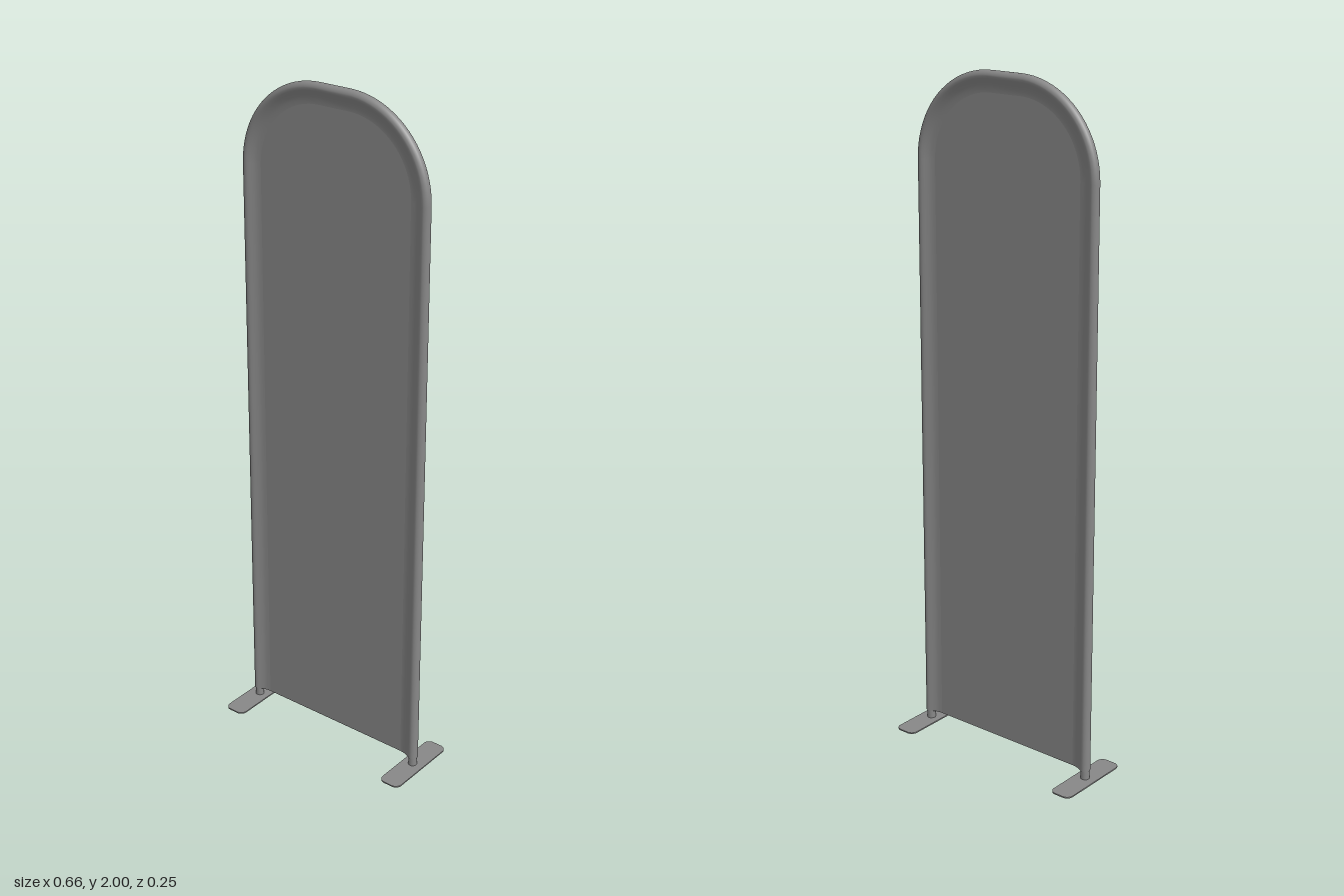
import * as THREE from 'three';

const HALF_W = 0.312, TOP = 2, HEM = 0.03, CORNER = 0.262, TUBE = 0.0152;
const PANEL_INSET = 0.06, PANEL_Z = 0.0015;

const grey = new THREE.MeshStandardMaterial({ color: 0x888888 });
const cloth = new THREE.MeshStandardMaterial({ color: 0x888888, side: THREE.DoubleSide });

// Arched outline moved inward by d, from the bottom right (-x) over the top to the bottom left (+x)
function archPoints(d, bottom) {
  const pts = [new THREE.Vector2(-(HALF_W - d), bottom)];
  const cx = HALF_W - CORNER, cy = TOP - CORNER, r = CORNER - d, n = 20;
  for (const side of [-1, 1]) {
    for (let i = 0; i <= n; i++) {
      const t = (side < 0 ? i : n - i) / n * Math.PI / 2;
      pts.push(new THREE.Vector2(side * (cx + r * Math.cos(t)), cy + r * Math.sin(t)));
    }
  }
  pts.push(new THREE.Vector2(HALF_W - d, bottom));
  return pts;
}

// Fabric stretched around the frame: one cross-section swept along the arch
function createHemGeometry() {
  const front = [[PANEL_INSET, PANEL_Z], [0.048, 0.0025], [0.038, 0.0055], [0.028, 0.01], [0.021, 0.0137]];
  const profile = front.slice();
  for (let i = 0; i <= 12; i++) {
    const t = Math.PI / 2 - i / 12 * Math.PI;
    profile.push([TUBE - TUBE * Math.cos(t), TUBE * Math.sin(t)]);
  }
  profile.push(...front.slice().reverse().map(([d, z]) => [d, -z]));

  const rows = profile.map(([d]) => archPoints(d, HEM));
  const count = rows[0].length, positions = [], index = [];
  rows.forEach((row, j) => row.forEach((p) => positions.push(p.x, p.y, profile[j][1])));
  for (let j = 0; j < rows.length - 1; j++) {
    for (let i = 0; i < count - 1; i++) {
      const a = j * count + i, b = a + 1, c = a + count, d = c + 1;
      index.push(a, b, c, b, d, c);
    }
  }
  const geo = new THREE.BufferGeometry();
  geo.setAttribute('position', new THREE.Float32BufferAttribute(positions, 3));
  geo.setIndex(index);
  geo.computeVertexNormals();
  return geo;
}

// Flat plate with rounded corners, lying on the ground
function createFootGeometry(w, l, r, h) {
  const x = w / 2, y = l / 2;
  const s = new THREE.Shape();
  s.absarc(x - r, y - r, r, 0, Math.PI / 2);
  s.absarc(-x + r, y - r, r, Math.PI / 2, Math.PI);
  s.absarc(-x + r, -y + r, r, Math.PI, Math.PI * 1.5);
  s.absarc(x - r, -y + r, r, Math.PI * 1.5, Math.PI * 2);
  return new THREE.ExtrudeGeometry(s, { depth: h, bevelEnabled: false, curveSegments: 8 }).rotateX(-Math.PI / 2);
}

export function createModel() {
  const model = new THREE.Group();
  model.name = 'archedBannerStand';
  const add = (name, geo, mat) => {
    const mesh = new THREE.Mesh(geo, mat);
    mesh.name = name;
    model.add(mesh);
    return mesh;
  };

  // Fabric cover: rounded edge and two flat faces
  add('fabricEdge', createHemGeometry(), cloth);
  const panel = new THREE.Shape(archPoints(PANEL_INSET, HEM));
  add('frontFabric', new THREE.ShapeGeometry(panel), cloth).position.z = PANEL_Z;
  const back = add('backFabric', new THREE.ShapeGeometry(panel), cloth);
  back.rotation.y = Math.PI;
  back.position.z = -PANEL_Z;

  // Bent tube frame inside the cover, its ends standing on the feet
  const path = new THREE.CurvePath();
  const line = archPoints(TUBE, 0.002).map((p) => new THREE.Vector3(p.x, p.y, 0));
  for (let i = 1; i < line.length; i++) path.add(new THREE.LineCurve3(line[i - 1], line[i]));
  add('tubeFrame', new THREE.TubeGeometry(path, 160, 0.013, 16, false), grey);

  // Foot plates
  for (const [name, side] of [['leftFoot', 1], ['rightFoot', -1]]) {
    add(name, createFootGeometry(0.068, 0.248, 0.02, 0.004), grey).position.x = side * 0.298;
  }
  return model;
}
